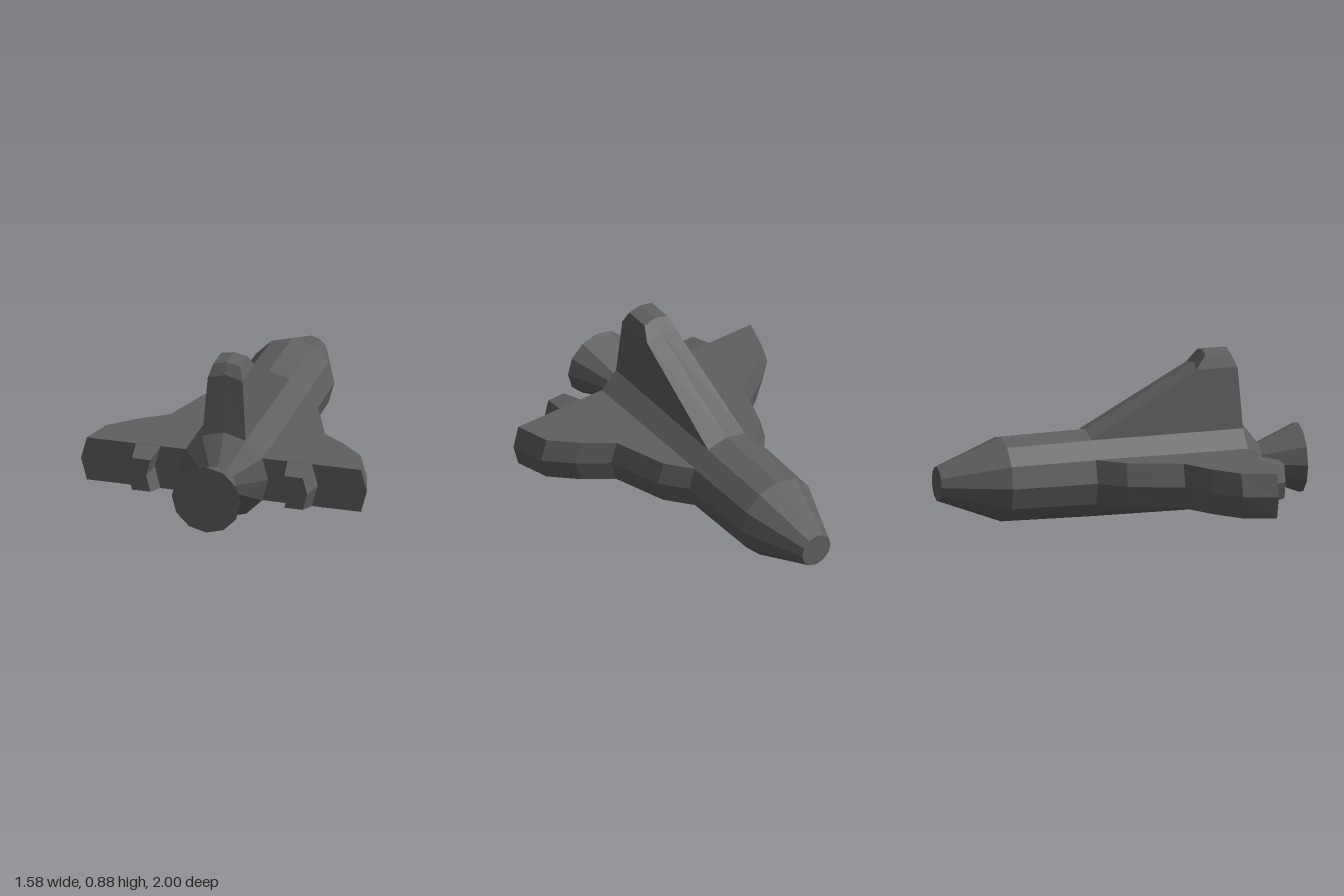
import * as THREE from 'three';

const MID = 0.245; // height of the body axis
const TOP = 0.367, BOTTOM = 0.123; // wing surfaces
const material = new THREE.MeshStandardMaterial({ color: 0x606060, flatShading: true });

// Joins closed sections (arrays of [x, y, z]) into a capped solid, faces turned outward.
function loft(sections, mirror = 1) {
  const rings = sections.map((s) => s.map(([x, y, z]) => new THREE.Vector3(x * mirror, y, z)));
  const n = rings[0].length;
  let tris = [];
  for (let i = 0; i < rings.length - 1; i++) {
    for (let j = 0; j < n; j++) {
      const k = (j + 1) % n;
      const [a, b, c, d] = [rings[i][j], rings[i][k], rings[i + 1][k], rings[i + 1][j]];
      tris.push([a, b, c], [a, c, d]);
    }
  }
  const cap = (ring, flip) => {
    const centre = ring.reduce((sum, p) => sum.add(p), new THREE.Vector3()).divideScalar(n);
    ring.forEach((p, j) => {
      const q = ring[(j + 1) % n];
      tris.push(flip ? [centre, q, p] : [centre, p, q]);
    });
  };
  cap(rings[0], true);
  cap(rings[rings.length - 1], false);
  const volume = tris.reduce((v, [a, b, c]) => v + a.dot(b.clone().cross(c)), 0);
  if (volume < 0) tris = tris.map(([a, b, c]) => [a, c, b]);
  // Collapsed corners leave empty triangles, which are dropped
  const solid = tris.filter(([a, b, c]) => new THREE.Triangle(a, b, c).getArea() > 1e-7);
  const geometry = new THREE.BufferGeometry().setFromPoints(solid.flat());
  geometry.computeVertexNormals();
  return geometry;
}

export function createModel() {
  const group = new THREE.Group();
  const add = (name, geometry) => {
    const mesh = new THREE.Mesh(geometry, material);
    mesh.name = name;
    group.add(mesh);
    return mesh;
  };

  // Twelve-sided fuselage, narrowing into the main engine bell: [radius, z]
  const profile = [
    [0, -1], [0.093, -1], [0.232, -0.645], [0.24, -0.18],
    [0.245, 0.66], [0.097, 0.775], [0.19, 1], [0, 1],
  ].map(([r, z]) => new THREE.Vector2(r, z));
  const body = new THREE.LatheGeometry(profile, 12);
  body.rotateX(Math.PI / 2);
  add('fuselage', body).position.y = MID;

  // Wing outline: [edge x, ridge x, z]
  const outline = [
    [0.207, 0.239, -0.18],
    [0.317, 0.349, -0.045],
    [0.414, 0.449, 0.245],
    [0.568, 0.603, 0.353],
    [0.703, 0.738, 0.479],
    [0.758, 0.79, 0.66],
  ];
  const wing = outline.map(([x, ridge, z]) => [
    [0.15, TOP, z], [x, TOP, z], [ridge, MID, z], [x, BOTTOM, z], [0.15, BOTTOM, z],
  ]);

  // Chevron-shaped side thruster, tapering away from the wing
  const chevron = (inner, outer, bulge, half, z) => [
    [inner, MID + half, z], [inner + bulge, MID, z], [inner, MID - half, z],
    [outer, MID - half, z], [outer + bulge, MID, z], [outer, MID + half, z],
  ];
  const thruster = [
    chevron(0.35, 0.488, 0.032, 0.122, 0.655),
    chevron(0.37, 0.472, 0.024, 0.092, 0.785),
  ];

  for (const [side, mirror] of [['left', 1], ['right', -1]]) {
    add(`${side}Wing`, loft(wing, mirror));
    add(`${side}Thruster`, loft(thruster, mirror));
  }

  // Tail fin levels: half width, side [y, front z, rear z], ridge [front y, z, rear y, z]
  const finLevel = (w, [y, front, rear], [frontY, frontZ, rearY, rearZ]) => [
    [-w, y, front], [0, frontY, frontZ], [w, y, front],
    [w, y, rear], [0, rearY, rearZ], [-w, y, rear],
  ];
  const ridge = [0.876, 0.47, 0.876, 0.605];
  add('tailFin', loft([
    finLevel(0.12, [0.455, -0.18, 0.66], [0.486, -0.18, 0.488, 0.66]),
    finLevel(0.096, [0.79, 0.41, 0.637], [0.812, 0.42, 0.815, 0.637]),
    finLevel(0.073, [0.861, 0.465, 0.605], ridge),
    finLevel(0, [0.876, 0.47, 0.605], ridge),
  ]));

  return group;
}
